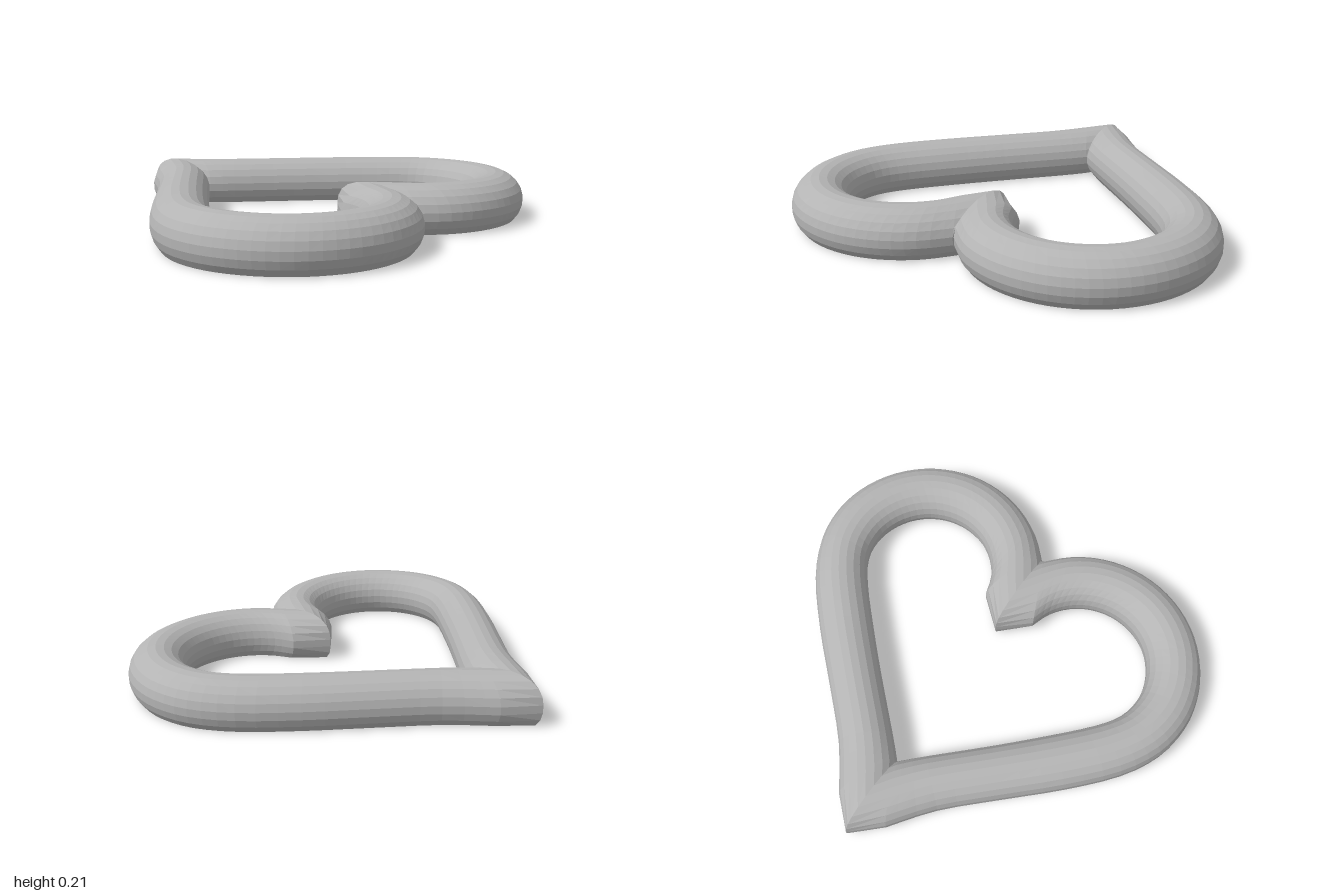
import * as THREE from 'three';

const AXIS_Y = 0.085, RADIUS = 0.125; // height of the bar's axis and its radius
const SIDES = 16;

// Rings of one half: outer and inner edge points [x, z], with a skew for the mitred ends
function halfRings() {
  const outerPts = [[-0.79, -0.13], [-0.6, -0.275], [-0.4, -0.48], [-0.2, -0.69], [0, -0.87], [0.18, -0.97]];
  const innerPts = [[-0.515, -0.005], [-0.43, -0.09], [-0.22, -0.31], [-0.03, -0.5], [0.13, -0.65], [0.24, -0.725]];
  // round lobe
  const arc = (r, deg) => {
    const a = THREE.MathUtils.degToRad(deg);
    return [0.35 + r * Math.cos(a), -0.44 - r * Math.sin(a)];
  };
  for (let i = 0; i <= 9; i++) {
    outerPts.push(arc(0.56, 90 - (141.8 * i) / 9));
    innerPts.push(arc(0.307, 90 - (171 * i) / 9));
  }
  const curve = (pts) => new THREE.SplineCurve(pts.map(([x, z]) => new THREE.Vector2(x, z)));
  const outer = curve(outerPts), inner = curve(innerPts);

  const rings = [{ o: new THREE.Vector2(-0.91, 0), n: new THREE.Vector2(-0.52, 0), skew: (w) => w ** 1.25 }];
  const steps = 45;
  for (let i = 0; i <= steps; i++) {
    rings.push({ o: outer.getPoint(i / steps), n: inner.getPoint(i / steps), skew: (w) => w });
  }
  rings.push({ o: new THREE.Vector2(0.705, 0), n: new THREE.Vector2(0.28, 0), skew: (w) => 1 - (1 - w) ** 1.35 });
  return rings;
}

// Round bar with a flat underside, lofted through the rings; side = 1 or -1 mirrors it in z
function barGeometry(side) {
  const start = -Math.asin(AXIS_Y / RADIUS);
  const sweep = Math.PI - 2 * start;
  const rows = halfRings().map(({ o, n, skew }) => {
    const row = [];
    for (let j = 0; j <= SIDES; j++) {
      const a = start + (sweep * j) / SIDES;
      const p = o.clone().lerp(n, skew((1 - Math.cos(a)) / 2));
      const y = Math.max(0, AXIS_Y + RADIUS * Math.sin(a));
      row.push([p.x, y, Math.min(0, p.y) * side]);
    }
    return row;
  });
  const pos = [];
  const tri = (a, b, c) => pos.push(...a, ...(side > 0 ? b : c), ...(side > 0 ? c : b));
  const count = SIDES + 1;
  for (let i = 0; i < rows.length - 1; i++) {
    for (let j = 0; j < count; j++) {
      const k = (j + 1) % count; // the last strip is the flat underside
      const a = rows[i][j], b = rows[i + 1][j], c = rows[i + 1][k], d = rows[i][k];
      tri(a, d, c);
      tri(a, c, b);
    }
  }
  const geometry = new THREE.BufferGeometry();
  geometry.setAttribute('position', new THREE.Float32BufferAttribute(pos, 3));
  geometry.computeVertexNormals();
  return geometry;
}

export function createModel() {
  const group = new THREE.Group();
  group.name = 'heartRing';
  const grey = new THREE.MeshStandardMaterial({ color: 0xb4b4b4 });
  grey.name = 'plain grey';
  for (const [name, side] of [['backHalf', 1], ['frontHalf', -1]]) {
    const mesh = new THREE.Mesh(barGeometry(side), grey);
    mesh.name = name;
    group.add(mesh);
  }
  return group;
}
